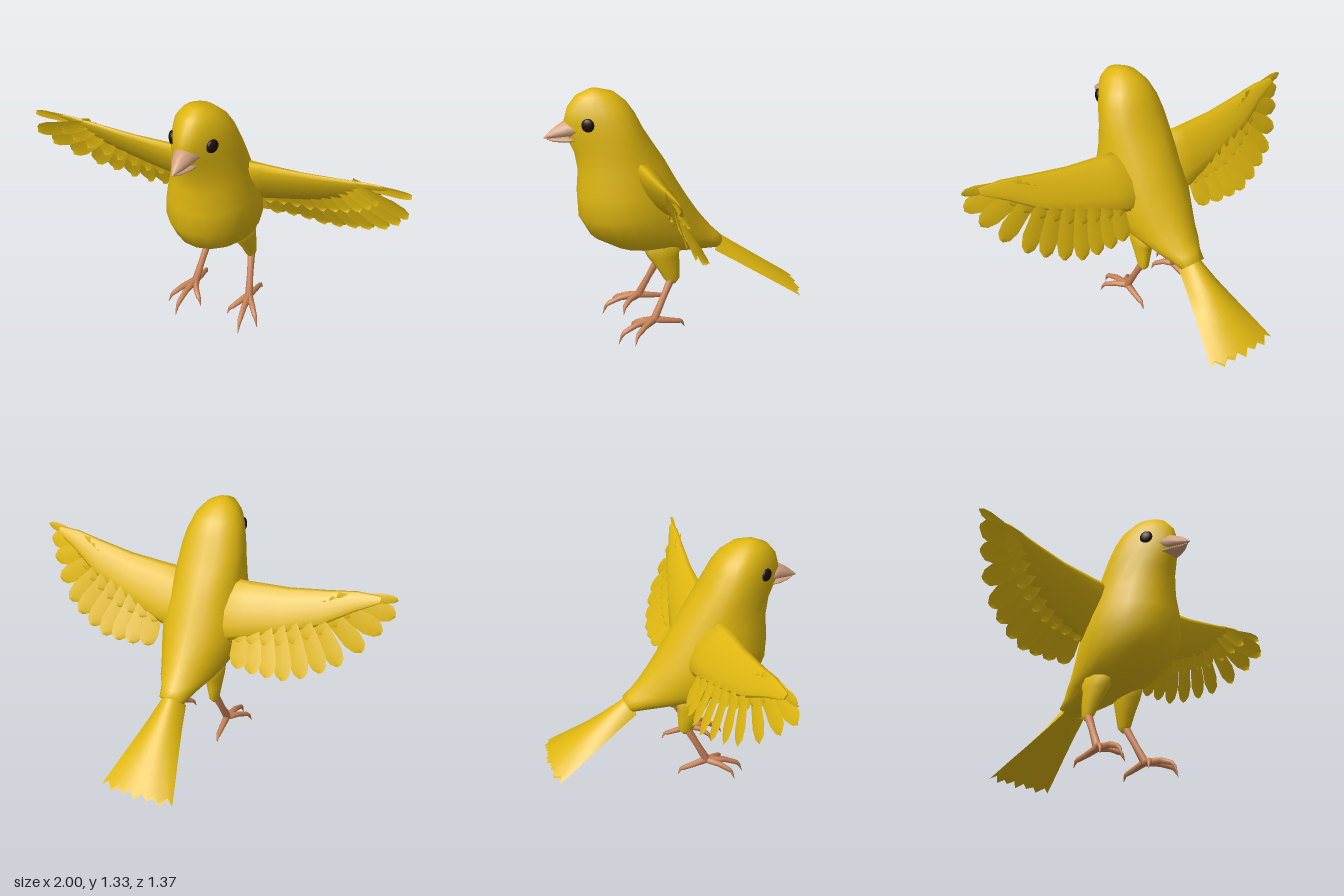
import * as THREE from 'three';

const V = (x, y, z) => new THREE.Vector3(x, y, z);
const paint = (name, color, side = THREE.FrontSide) => {
  const m = new THREE.MeshStandardMaterial({ color, side });
  m.name = name;
  return m;
};

// Smooth surface through rows of points; closed rows wrap round and get capped ends.
function skin(rows, closed) {
  const n = rows[0].length, pts = rows.flat(), idx = [];
  const cols = closed ? n : n - 1;
  for (let r = 0; r < rows.length - 1; r++)
    for (let c = 0; c < cols; c++) {
      const a = r * n + c, b = r * n + (c + 1) % n;
      idx.push(a, b, a + n, b, b + n, a + n);
    }
  if (closed) {
    for (const r of [0, rows.length - 1]) {
      const mid = V(0, 0, 0);
      rows[r].forEach(p => mid.addScaledVector(p, 1 / n));
      const k = pts.push(mid) - 1;
      for (let c = 0; c < n; c++) {
        const a = r * n + c, b = r * n + (c + 1) % n;
        if (r === 0) idx.push(k, b, a); else idx.push(k, a, b);
      }
    }
    // Turn the faces outward if the enclosed volume is negative
    let vol = 0;
    for (let i = 0; i < idx.length; i += 3)
      vol += pts[idx[i]].dot(V(0, 0, 0).crossVectors(pts[idx[i + 1]], pts[idx[i + 2]]));
    if (vol < 0) idx.reverse();
  }
  const g = new THREE.BufferGeometry().setFromPoints(pts);
  g.setIndex(idx);
  g.computeVertexNormals();
  return g;
}

// Ring round a centre with two half axes; k narrows the side that u points to.
function ring(c, u, v, sides, k = 0) {
  return Array.from({ length: sides }, (_, i) => {
    const a = i / sides * Math.PI * 2, cs = Math.cos(a);
    return c.clone().addScaledVector(u, cs).addScaledVector(v, Math.sin(a) * (1 - k * cs));
  });
}

// Tapering limb through points with a radius at each
function limb(points, radii, sides = 8) {
  return skin(points.map((p, i) => {
    const d = points[Math.min(i + 1, points.length - 1)].clone()
      .sub(points[Math.max(i - 1, 0)]).normalize();
    const u = V(0, 0, 0).crossVectors(d, Math.abs(d.x) > 0.8 ? V(0, 1, 0) : V(1, 0, 0)).normalize();
    const v = V(0, 0, 0).crossVectors(d, u);
    return ring(p, u.multiplyScalar(radii[i]), v.multiplyScalar(radii[i]), sides);
  }), true);
}

// Thin feather with a raised quill line and a rounded tip
function feather(root, tip, width, tilt) {
  const d = tip.clone().sub(root), n = V(0, -0.5, 0.86);
  const side = V(0, 0, 0).crossVectors(d, n).normalize();
  const shape = [[0, 0.55], [0.4, 0.85], [0.75, 1], [0.92, 0.75], [1, 0.25]];
  return skin(shape.map(([t, w]) => [-1, 0, 1].map(s => root.clone().addScaledVector(d, t)
    .addScaledVector(side, s * w * width / 2)
    .addScaledVector(n, s * tilt - (s === 0 ? 0.006 : 0)))), false);
}

export function createModel() {
  const bird = new THREE.Group();
  bird.name = 'bird';
  const yellow = paint('yellowPlumage', 0xdfb70f, THREE.DoubleSide);
  const horn = paint('beakHorn', 0xd2a27e);
  const skinTone = paint('legSkin', 0xc98357);
  const dark = paint('eyeDark', 0x1c0d08);
  const add = (name, geo, mat, parent = bird) => {
    const m = new THREE.Mesh(geo, mat);
    m.name = name;
    parent.add(m);
    return m;
  };

  // Head and body: front z, front y, back z, back y, half width, front narrowing
  const sections = [
    [0.45, 1.335, 0.39, 1.335, 0.03, 0], [0.515, 1.305, 0.32, 1.315, 0.08, 0.15],
    [0.56, 1.25, 0.26, 1.265, 0.12, 0.3], [0.58, 1.18, 0.215, 1.20, 0.142, 0.4],
    [0.565, 1.10, 0.175, 1.12, 0.162, 0.36], [0.53, 1.02, 0.125, 1.04, 0.178, 0.2],
    [0.515, 0.92, 0.06, 0.94, 0.195, 0.06], [0.525, 0.80, 0, 0.83, 0.222, 0],
    [0.52, 0.68, -0.06, 0.73, 0.232, -0.05], [0.46, 0.57, -0.12, 0.64, 0.212, -0.1],
    [0.33, 0.495, -0.17, 0.575, 0.175, -0.1], [0.18, 0.46, -0.20, 0.54, 0.14, 0],
    [0, 0.435, -0.225, 0.515, 0.10, 0], [-0.2, 0.425, -0.255, 0.485, 0.07, 0]];
  add('body', skin(sections.map(([fz, fy, bz, by, w, k]) =>
    ring(V(0, (fy + by) / 2, (fz + bz) / 2), V(0, (fy - by) / 2, (fz - bz) / 2), V(w, 0, 0), 20, k)), true), yellow);

  // Tail: arched fan with a toothed end, closed below by a flatter sheet
  const teeth = [-0.01, 0.015, -0.02, 0.006, -0.012, 0.012, -0.022, 0.012, -0.012, 0.006, -0.02, 0.015, -0.01];
  const tailSheet = (arch, lift) => skin([0, 0.25, 0.5, 0.75, 1].map(t => teeth.map((e, i) => {
    const u = i / 6 - 1, end = t === 1 ? e : 0;
    const w = 0.07 + 0.13 * t ** 1.1;
    return V(u * w, 0.425 - 0.27 * t + (1 - u * u) * arch * (1 - 0.55 * t) + lift + end * 0.7,
      -0.2 - 0.445 * t + end - (1 - u * u) * 0.025);
  })), false);
  add('tailTop', tailSheet(0.08, 0), yellow);
  add('tailUnderside', tailSheet(0.015, 0), yellow);

  // Beak: upper and lower halves with a narrow mouth gap
  const beakPart = rows => skin(rows.map(([z, y, hy, hx]) => ring(V(0, y, z), V(0, hy, 0), V(hx, 0, 0), 10, hy > 0.02 ? 0.3 : 0)), true);
  add('upperBeak', beakPart([[0.51, 1.15, 0.038, 0.07], [0.57, 1.15, 0.042, 0.054], [0.62, 1.133, 0.028, 0.034],
    [0.66, 1.116, 0.013, 0.015], [0.68, 1.107, 0.003, 0.003]]), horn);
  add('lowerBeak', beakPart([[0.51, 1.095, 0.015, 0.06], [0.58, 1.093, 0.014, 0.045], [0.63, 1.094, 0.009, 0.024],
    [0.665, 1.1, 0.002, 0.003]]), horn);

  for (const s of [1, -1]) {
    const label = s > 0 ? 'left' : 'right';
    const P = (x, y, z) => V(s * x, y, z);

    // Eye
    const eye = add(label + 'Eye', new THREE.SphereGeometry(0.034, 16, 12), dark);
    eye.scale.x = 0.5;
    eye.position.set(s * 0.103, 1.18, 0.477);
    eye.rotation.y = -s * 0.45;

    // Wing arm: x, top y, bottom y, half thickness
    const wing = new THREE.Group();
    wing.name = label + 'Wing';
    bird.add(wing);
    const planeZ = y => 0.27 - (1.03 - y) * 0.6;
    const arm = [[0.1, 0.98, 0.68, 0.06], [0.25, 0.985, 0.72, 0.045], [0.45, 0.995, 0.78, 0.03],
      [0.65, 1.02, 0.86, 0.02], [0.8, 1.042, 0.95, 0.011], [0.92, 1.042, 1.01, 0.004]];
    add('wingArm', skin(arm.map(([x, t, b, h]) => ring(P(x, (t + b) / 2, planeZ((t + b) / 2)),
      V(0, (t - b) / 2, (t - b) * 0.3), V(0, -h * 0.5, h), 12)), true), yellow, wing);

    // Flight feathers fanning from the arm
    const roots = new THREE.CatmullRomCurve3([P(0.74, 1.01, 0.26), P(0.62, 0.94, 0.22), P(0.45, 0.86, 0.165), P(0.24, 0.8, 0.13)]);
    const tips = [P(1, 1.032, 0.295), P(0.997, 0.935, 0.305), P(0.95, 0.85, 0.25), P(0.88, 0.76, 0.18),
      P(0.785, 0.685, 0.11), P(0.705, 0.645, 0.07), P(0.615, 0.605, 0.035), P(0.525, 0.58, 0.01),
      P(0.44, 0.58, 0), P(0.355, 0.58, 0), P(0.27, 0.58, 0.015)];
    tips.forEach((tip, i) => {
      const root = roots.getPoint(i / (tips.length - 1));
      const width = i === 0 ? 0.05 : 0.105;
      add('flightFeather', feather(root, tip, width, s * 0.008), yellow, wing);
      // Shorter coverts on both faces of the wing
      if (i > 0) for (const [dz, reach] of [[0.022, 0.5], [-0.014, 0.42]]) {
        const a = root.clone().add(V(0, 0.02, dz * 0.6));
        const b = root.clone().lerp(tip, reach).add(V(0, 0, dz));
        add('covertFeather', feather(a, b, 0.085, s * 0.008), yellow, wing);
      }
    });

    // Feathered thigh
    const leg = new THREE.Group();
    leg.name = label + 'Leg';
    bird.add(leg);
    const thigh = [[0.54, 0.1, 0.11, 0.12, 0.06], [0.45, 0.108, 0.1, 0.085, 0.05],
      [0.38, 0.118, 0.075, 0.06, 0.036], [0.32, 0.125, 0.06, 0.042, 0.025], [0.295, 0.128, 0.06, 0.02, 0.014]];
    add('thigh', skin(thigh.map(([y, x, z, hz, hx]) => ring(P(x, y, z), V(0, 0, hz), V(hx, 0, 0), 10)), true), yellow, leg);

    // Shank, three front toes and a hind toe, each ending in a curved claw
    add('shank', limb([P(0.126, 0.33, 0.06), P(0.143, 0.22, 0.115), P(0.16, 0.11, 0.17)], [0.022, 0.018, 0.022]), skinTone, leg);
    const toes = [
      [P(0.172, 0.1, 0.27), P(0.18, 0.072, 0.335), P(0.184, 0.008, 0.37)],
      [P(0.205, 0.1, 0.23), P(0.238, 0.078, 0.275), P(0.262, 0.025, 0.3)],
      [P(0.13, 0.1, 0.225), P(0.1, 0.078, 0.26), P(0.078, 0.035, 0.275)],
      [P(0.162, 0.095, 0.09), P(0.165, 0.085, 0.03), P(0.168, 0.05, 0.003)]];
    for (const [knuckle, joint, claw] of toes) {
      const bend = joint.clone().lerp(claw, 0.45).add(V(0, 0.012, 0));
      add('toe', limb([P(0.16, 0.112, 0.168), knuckle, joint, bend, claw], [0.02, 0.016, 0.013, 0.009, 0.001], 7), skinTone, leg);
    }
  }
  return bird;
}
